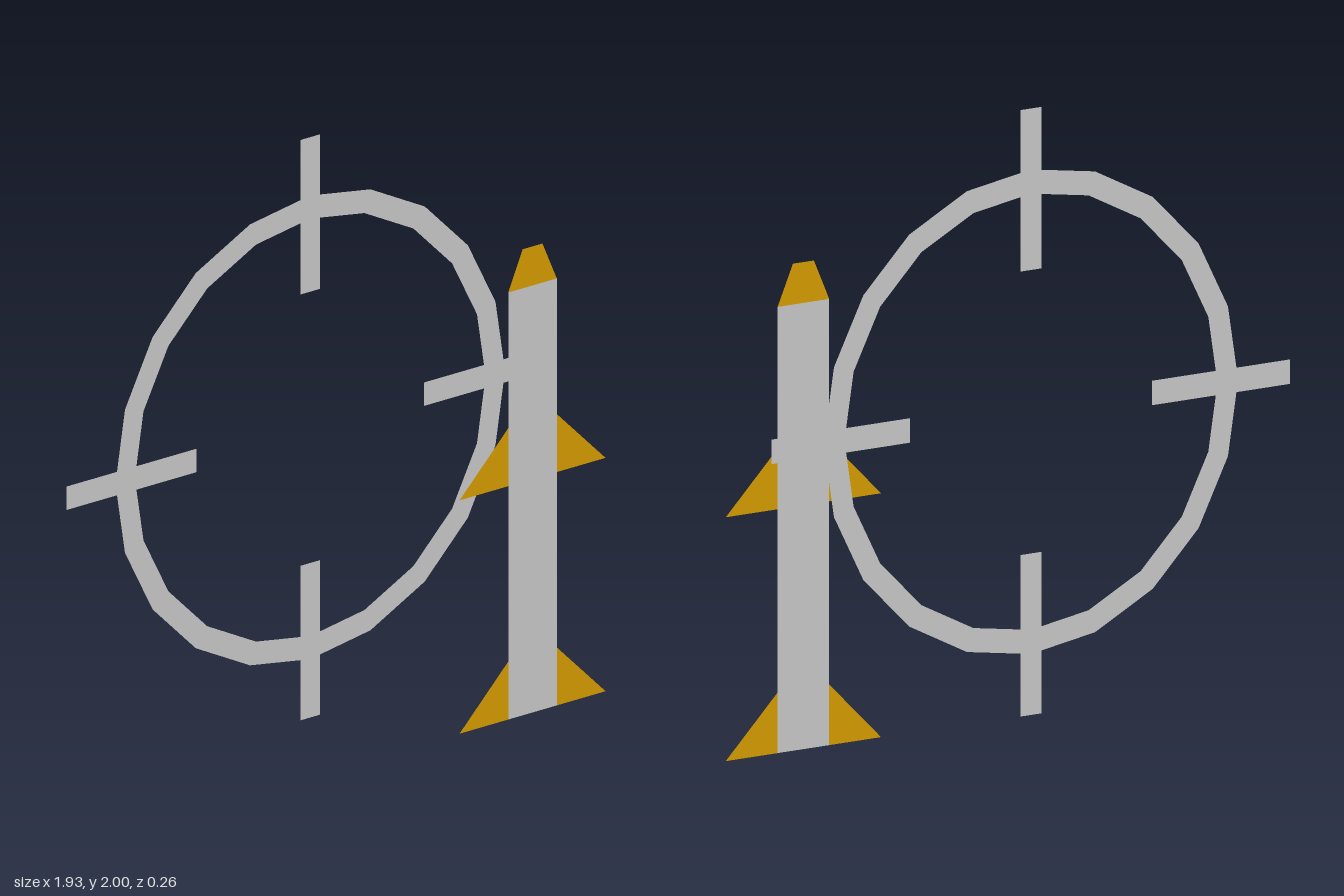
import * as THREE from 'three';

const grey = new THREE.MeshStandardMaterial({ color: 0xcccccc, side: THREE.DoubleSide, flatShading: true });
const gold = new THREE.MeshStandardMaterial({ color: 0xd99e00, side: THREE.DoubleSide, flatShading: true });

// Flat panel from a corner outline in the xy plane
function panel(name, points, material) {
  const shape = new THREE.Shape(points.map(([x, y]) => new THREE.Vector2(x, y)));
  const mesh = new THREE.Mesh(new THREE.ShapeGeometry(shape), material);
  mesh.name = name;
  return mesh;
}

// Target sight: a 20-sided ring crossed by four tick bars
function createSight() {
  const sight = new THREE.Group();
  sight.name = 'targetSight';
  const ring = new THREE.Mesh(new THREE.RingGeometry(0.694, 0.771, 20), grey);
  ring.name = 'ring';
  sight.add(ring);
  ['tickLeft', 'tickTop', 'tickRight', 'tickBottom'].forEach((name, i) => {
    const tick = panel(name, [[0.451, -0.039], [0.965, -0.039], [0.965, 0.039], [0.451, 0.039]], grey);
    tick.rotation.z = i * Math.PI / 2;
    sight.add(tick);
  });
  return sight;
}

// Missile: flat body, blunt nose and two pairs of triangular fins
function createMissile() {
  const missile = new THREE.Group();
  missile.name = 'missile';
  const half = 0.096, top = 1.42;
  missile.add(
    panel('body', [[-half, 0], [half, 0], [half, top], [-half, top]], grey),
    panel('nose', [[-half, top], [half, top], [0.039, 1.55], [-0.039, 1.55]], gold)
  );
  for (const [label, y] of [['tailFin', 0], ['middleFin', 0.776]]) {
    for (const side of [1, -1]) {
      missile.add(panel(label + (side > 0 ? 'Left' : 'Right'),
        [[side * half, y], [side * 0.289, y], [side * half, y + 0.193]], gold));
    }
  }
  return missile;
}

export function createModel() {
  const model = new THREE.Group();
  model.name = 'missileAndSight';
  const sight = createSight();
  sight.position.set(0, 1.035, -0.128);
  const missile = createMissile();
  missile.position.set(0.676, 0, 0.128);
  model.add(sight, missile);
  return model;
}
